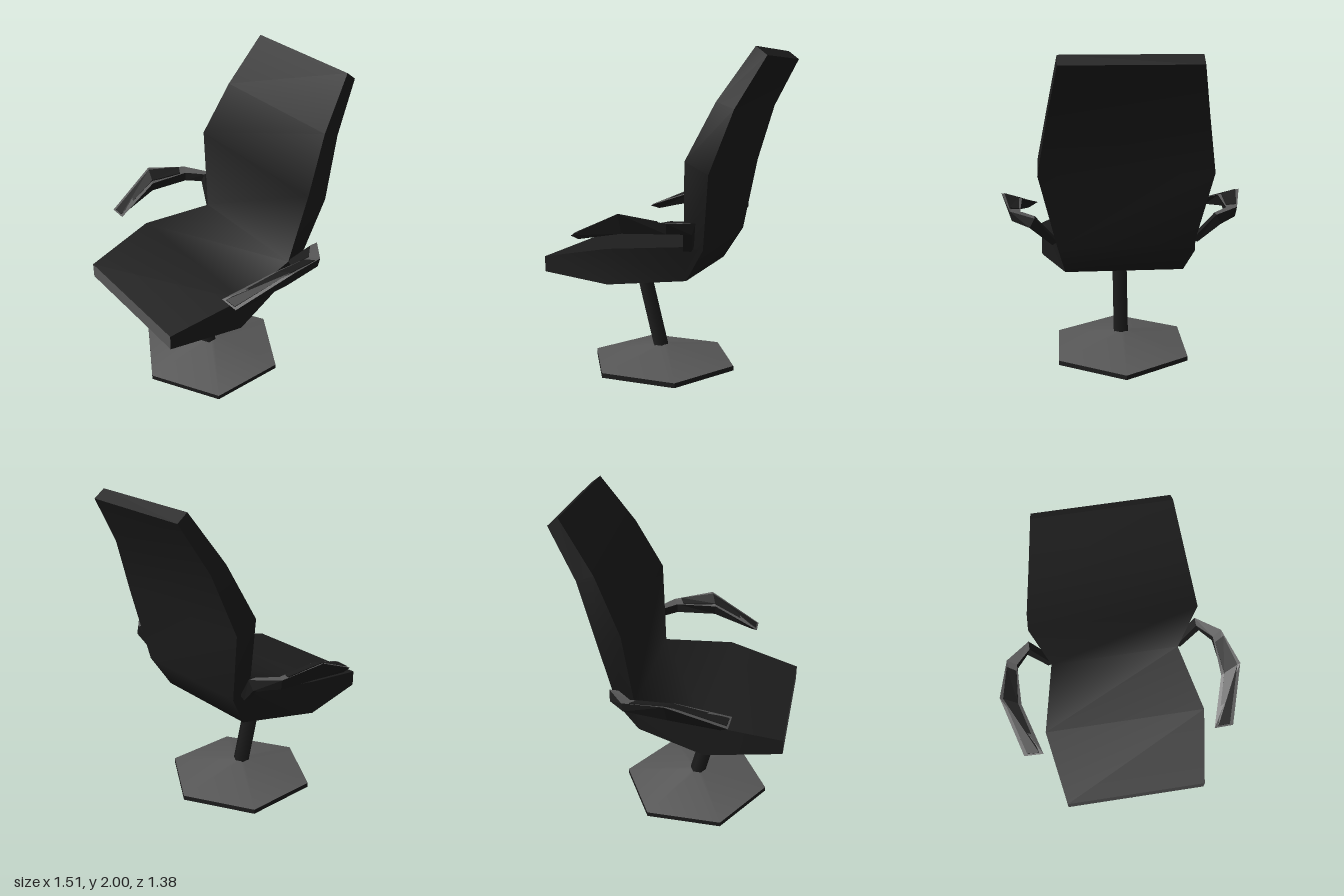
import * as THREE from 'three';

const makeMaterial = (name, color) => {
  const material = new THREE.MeshStandardMaterial({ color, side: THREE.DoubleSide });
  material.name = name;
  return material;
};
const dark = makeMaterial('dark upholstery', 0x1d1d1d);
const grey = makeMaterial('grey trim', 0x575757);

function addMesh(parent, name, geometry, material) {
  const mesh = new THREE.Mesh(geometry, material);
  mesh.name = name;
  parent.add(mesh);
  return mesh;
}

// Skins four-cornered sections. Each of the four strips is smooth along its
// length; faces lists the material index of the strips 0-3, start cap and end cap.
function loft(sections, faces = [0, 0, 0, 0, 0, 0], { flip = false, flat = false } = {}) {
  const pos = [], index = [], groups = [];
  const tri = (a, b, c) => (flip ? index.push(a, c, b) : index.push(a, b, c));
  for (let k = 0; k < 4; k++) {
    const start = index.length;
    let last = '', row = 0;
    // Sections that share an edge share its vertices, so shading runs through
    const rows = sections.map((s) => {
      const edge = [...s[k], ...s[(k + 1) % 4]];
      if (edge.join() !== last) {
        row = pos.length / 3;
        pos.push(...edge);
        last = edge.join();
      }
      return row;
    });
    for (let i = 0; i < rows.length - 1; i++) {
      const a = rows[i], b = rows[i + 1];
      if (a === b) continue;
      tri(a, b, a + 1);
      tri(a + 1, b, b + 1);
    }
    groups.push([start, index.length - start, faces[k]]);
  }
  [sections[0], sections[sections.length - 1]].forEach((s, e) => {
    const b = pos.length / 3, start = index.length;
    pos.push(...s.flat());
    if (e === 0) { tri(b, b + 1, b + 2); tri(b, b + 2, b + 3); }
    else { tri(b, b + 2, b + 1); tri(b, b + 3, b + 2); }
    groups.push([start, 6, faces[4 + e]]);
  });
  let g = new THREE.BufferGeometry();
  g.setAttribute('position', new THREE.Float32BufferAttribute(pos, 3));
  g.setIndex(index);
  groups.forEach((r) => g.addGroup(...r));
  if (flat) g = g.toNonIndexed();
  g.computeVertexNormals();
  return g;
}

const lerp = (a, b, t) => a.map((v, i) => v + (b[i] - v) * t);

function makeArm(side) {
  const arm = new THREE.Group();
  arm.name = side > 0 ? 'leftArmrest' : 'rightArmrest';
  const opts = { flip: side < 0, flat: true };
  const mirror = (list) => list.map((s) => s.map(([x, y, z]) => [x * side, y, z]));

  // Corners: inner top, outer top, outer bottom, inner bottom
  const root = [[0.41, 0.865, -0.22], [0.41, 0.865, -0.275], [0.44, 0.845, -0.27], [0.44, 0.845, -0.22]];
  const elbow = [[0.54, 1.03, -0.275], [0.54, 1.03, -0.33], [0.57, 0.97, -0.32], [0.56, 0.97, -0.265]];
  const bend = [[0.63, 1.035, -0.18], [0.69, 1.045, -0.215], [0.68, 0.985, -0.21], [0.63, 0.975, -0.18]];
  const peak = [[0.63, 1.045, 0.09], [0.755, 1.095, 0.045], [0.70, 0.975, 0.05], [0.655, 0.975, 0.08]];
  const tip = [[0.54, 0.94, 0.395], [0.66, 0.935, 0.39], [0.65, 0.915, 0.345], [0.60, 0.915, 0.35]];

  addMesh(arm, 'armStem', loft(mirror([root, elbow]), undefined, opts), [dark]);
  addMesh(arm, 'armRail', loft(mirror([elbow, bend, peak, tip]), [1, 0, 0, 0, 0, 1], opts), [dark, grey]);

  // Thin dark pad inset in the grey top of the rail
  const padSection = (from, to, t, inset) => {
    const inner = lerp(from[0], to[0], t), outer = lerp(from[1], to[1], t);
    const a = lerp(inner, outer, inset), b = lerp(inner, outer, 1 - inset);
    const lift = ([x, y, z], d) => [x, y + d, z];
    return [lift(a, 0.005), lift(b, 0.005), lift(b, -0.003), lift(a, -0.003)];
  };
  const pad = [padSection(bend, peak, 0.17, 0.1), padSection(bend, peak, 1, 0.16), padSection(peak, tip, 0.97, 0.19)];
  addMesh(arm, 'armPad', loft(mirror(pad), undefined, opts), [dark]);
  return arm;
}

export function createModel() {
  const chair = new THREE.Group();
  chair.name = 'swivelChair';

  // Seat and backrest: cushion half width, y, z, then outer half width, y, z
  const shell = [
    [0.44, 0.745, 0.69, 0.44, 0.65, 0.69],
    [0.515, 0.84, 0.23, 0.515, 0.625, 0.23],
    [0.42, 0.865, -0.215, 0.365, 0.65, -0.21],
    [0.42, 0.865, -0.215, 0.41, 0.85, -0.33],
    [0.515, 1.37, -0.255, 0.515, 1.30, -0.395],
    [0.45, 1.70, -0.415, 0.45, 1.66, -0.52],
    [0.39, 2.0, -0.62, 0.39, 1.95, -0.685],
  ].map(([w1, y1, z1, w2, y2, z2]) => [[w1, y1, z1], [-w1, y1, z1], [-w2, y2, z2], [w2, y2, z2]]);
  addMesh(chair, 'seatAndBackrest', loft(shell, [0, 0, 0, 0, 1, 0]), [dark, grey]);

  chair.add(makeArm(1), makeArm(-1));

  // Leaning column, sheared so both ends stay level
  const column = new THREE.CylinderGeometry(0.053, 0.053, 0.59, 6);
  column.translate(0, 0.385, 0);
  const p = column.attributes.position;
  for (let i = 0; i < p.count; i++) p.setZ(i, p.getZ(i) + 0.068 + p.getY(i) * 0.25);
  addMesh(chair, 'column', column, dark);

  // Hollow six-sided foot: sloped shell on a thin dark rim, open below
  const foot = new THREE.Group();
  foot.name = 'foot';
  foot.position.z = 0.083;
  chair.add(foot);
  addMesh(foot, 'footTop', new THREE.CylinderGeometry(0.03, 0.48, 0.095, 6, 1, true), grey).position.y = 0.0775;
  const rim = new THREE.CylinderGeometry(0.48, 0.48, 0.03, 6, 1, true).toNonIndexed();
  rim.computeVertexNormals();
  addMesh(foot, 'footRim', rim, dark).position.y = 0.015;
  return chair;
}
